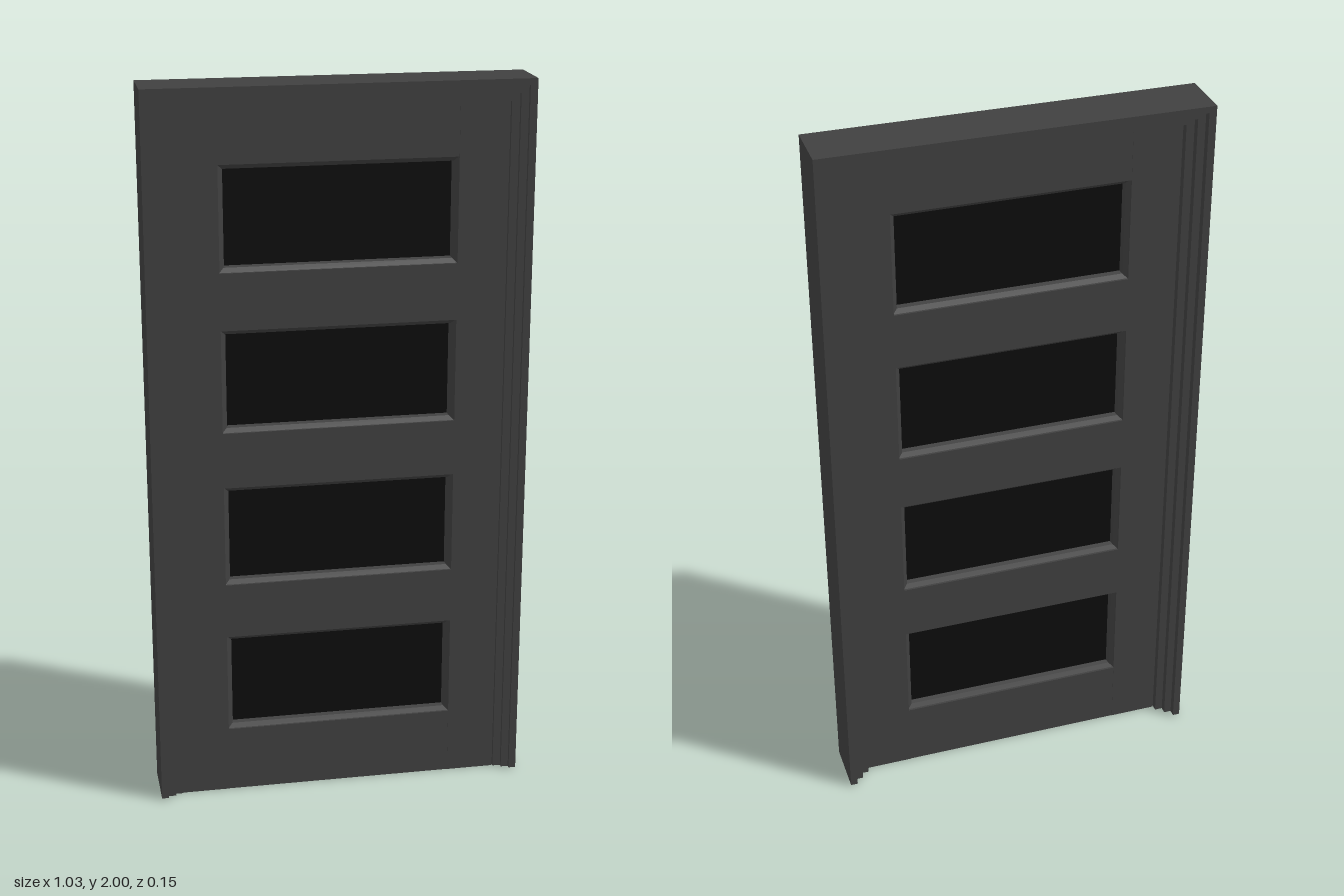
import * as THREE from 'three';

const paint = new THREE.MeshStandardMaterial({ color: 0x404040 });
const glass = new THREE.MeshStandardMaterial({ color: 0x0d0d0d });

const DOOR_X = 0.452, DOOR_TOP = 1.94, FRONT = 0.045, BACK = -0.015;
const MID = (FRONT + BACK) / 2;
const WIN_X = 0.318, WIN_H = 0.285, WIN_Y = [0.189, 0.63, 1.071, 1.512];

function add(parent, name, geometry, material = paint) {
  const mesh = new THREE.Mesh(geometry, material);
  mesh.name = name;
  parent.add(mesh);
  return mesh;
}

function extrude(points, z0, z1, holes = []) {
  const shape = new THREE.Shape(points.map(([x, y]) => new THREE.Vector2(x, y)));
  for (const h of holes) shape.holes.push(new THREE.Path(h.map(([x, y]) => new THREE.Vector2(x, y))));
  return new THREE.ExtrudeGeometry(shape, { depth: z1 - z0, bevelEnabled: false }).translate(0, 0, z0);
}

function box(x0, x1, y0, y1, z0, z1) {
  return new THREE.BoxGeometry(x1 - x0, y1 - y0, z1 - z0)
    .translate((x0 + x1) / 2, (y0 + y1) / 2, (z0 + z1) / 2);
}

const rect = (x, y0, y1) => [[-x, y0], [x, y0], [x, y1], [-x, y1]];

// Three-sided surround: two legs and a head
function surround(outX, outTop, inX, inTop, z0, z1) {
  const y = 0.004;
  return extrude([[-outX, y], [-inX, y], [-inX, inTop], [inX, inTop],
    [inX, y], [outX, y], [outX, outTop], [-outX, outTop]], z0, z1);
}

// Mitred moulding lining a window; profile points are [inset, z], front to back
function moulding(w, h, profile) {
  const pos = [];
  const ring = ([i, z]) => [[-w + i, -h + i, z], [w - i, -h + i, z], [w - i, h - i, z], [-w + i, h - i, z]];
  for (let p = 0; p < profile.length - 1; p++) {
    const a = ring(profile[p]), b = ring(profile[p + 1]);
    for (let k = 0; k < 4; k++) {
      const n = (k + 1) % 4;
      pos.push(...a[k], ...a[n], ...b[n], ...a[k], ...b[n], ...b[k]);
    }
  }
  const g = new THREE.BufferGeometry();
  g.setAttribute('position', new THREE.Float32BufferAttribute(pos, 3));
  g.computeVertexNormals();
  return g;
}

export function createModel() {
  const model = new THREE.Group();
  model.name = 'panelledDoor';

  // Stepped frame, each step deeper in than the one outside it
  const frame = new THREE.Group();
  frame.name = 'doorFrame';
  model.add(frame);
  add(frame, 'outerJamb', surround(0.515, 2, 0.495, 1.983, -0.075, 0.075));
  add(frame, 'middleStep', surround(0.495, 1.983, 0.474, 1.961, -0.055, 0.065));
  add(frame, 'innerStep', surround(0.474, 1.961, DOOR_X, DOOR_TOP, -0.035, 0.055));

  // Door leaf: stiles joined by the middle rails
  const door = new THREE.Group();
  door.name = 'doorLeaf';
  model.add(door);
  const low = WIN_Y[0] + WIN_H, high = WIN_Y[3];
  const outline = [[-DOOR_X, 0], [-WIN_X, 0], [-WIN_X, low], [WIN_X, low], [WIN_X, 0], [DOOR_X, 0],
    [DOOR_X, DOOR_TOP], [WIN_X, DOOR_TOP], [WIN_X, high], [-WIN_X, high], [-WIN_X, DOOR_TOP], [-DOOR_X, DOOR_TOP]];
  const holes = [WIN_Y[1], WIN_Y[2]].map((y) => rect(WIN_X, y, y + WIN_H).reverse());
  add(door, 'stilesAndMiddleRails', extrude(outline, BACK, FRONT, holes));

  // Top and bottom rails, set back by a hair so the joints show
  add(door, 'bottomRail', box(-WIN_X, WIN_X, 0, WIN_Y[0], BACK + 0.001, FRONT - 0.001));
  add(door, 'topRail', box(-WIN_X, WIN_X, high + WIN_H, DOOR_TOP, BACK + 0.001, FRONT - 0.001));

  // Windows with bevelled mouldings on both faces
  const profile = [[0, FRONT], [0, FRONT - 0.006], [0.012, FRONT - 0.014], [0.015, MID + 0.004],
    [0.015, MID - 0.004], [0.012, BACK + 0.014], [0, BACK + 0.006], [0, BACK]];
  const lining = moulding(WIN_X, WIN_H / 2, profile);
  const pane = new THREE.BoxGeometry(2 * WIN_X - 0.026, WIN_H - 0.026, 0.006);
  for (const y of WIN_Y) {
    const win = new THREE.Group();
    win.name = 'window';
    win.position.y = y + WIN_H / 2;
    add(win, 'windowMoulding', lining);
    add(win, 'glassPane', pane, glass).position.z = MID;
    door.add(win);
  }
  return model;
}
